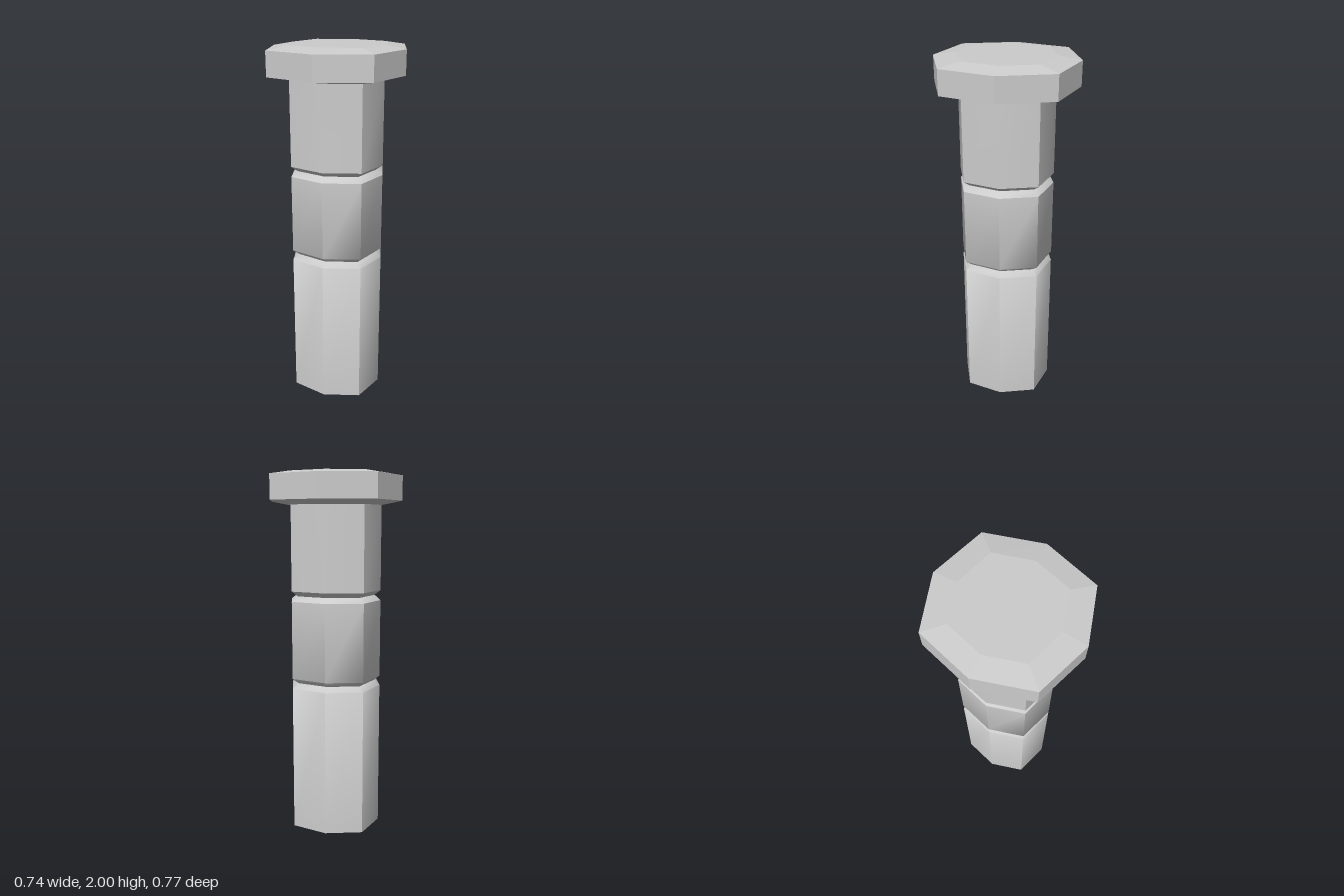
import * as THREE from 'three';
import { toCreasedNormals } from 'three/addons/utils/BufferGeometryUtils.js';

// Uneven octagon: axis corners at ax / az, diagonal corners at (dx, dz)
const octagon = (ax, az, dx, dz) => [
  [ax, 0], [dx, dz], [0, az], [-dx, dz], [-ax, 0], [-dx, -dz], [0, -az], [dx, -dz],
];
const SHAFT = octagon(0.257, 0.26, 0.2, 0.2);
const HEAD = octagon(0.37, 0.386, 0.285, 0.293);

// Stack rings of [outline, scale, y] from bottom to top, with optional end caps
function loft(rings, capBottom, capTop) {
  const pos = [], index = [], n = 8;
  for (const [outline, s, y] of rings) {
    for (const [x, z] of outline) pos.push(x * s, y, z * s);
  }
  for (let r = 0; r < rings.length - 1; r++) {
    for (let i = 0; i < n; i++) {
      const a = r * n + i, b = r * n + (i + 1) % n;
      index.push(a, a + n, b, b, a + n, b + n);
    }
  }
  const top = (rings.length - 1) * n;
  for (let i = 1; i < n - 1; i++) {
    if (capBottom) index.push(0, i, i + 1);
    if (capTop) index.push(top, top + i + 1, top + i);
  }
  const geo = new THREE.BufferGeometry();
  geo.setAttribute('position', new THREE.Float32BufferAttribute(pos, 3));
  geo.setIndex(index);
  return geo;
}

export function createModel() {
  const group = new THREE.Group();

  // Shaft with two V-shaped grooves cut all the way round
  const rings = [[SHAFT, 1, 0]];
  for (const [y, scale] of [[0.845, 0.87], [1.333, 0.86]]) {
    rings.push([SHAFT, 1, y - 0.028], [SHAFT, scale, y], [SHAFT, 1, y + 0.028]);
  }
  rings.push([SHAFT, 1, 1.825]);
  const shaft = new THREE.Mesh(
    toCreasedNormals(loft(rings, true, false), THREE.MathUtils.degToRad(50)),
    new THREE.MeshStandardMaterial({ color: 0xcccccc }),
  );
  shaft.name = 'shaft';
  group.add(shaft);

  // Wide faceted head, bevelled above and below
  const headGeo = loft([
    [SHAFT, 1, 1.825], [HEAD, 1, 1.847], [HEAD, 1, 1.98], [SHAFT, 1, 2],
  ], false, true).toNonIndexed();
  headGeo.computeVertexNormals();
  const head = new THREE.Mesh(
    headGeo,
    new THREE.MeshStandardMaterial({ color: 0xcccccc, flatShading: true }),
  );
  head.name = 'head';
  group.add(head);

  return group;
}
